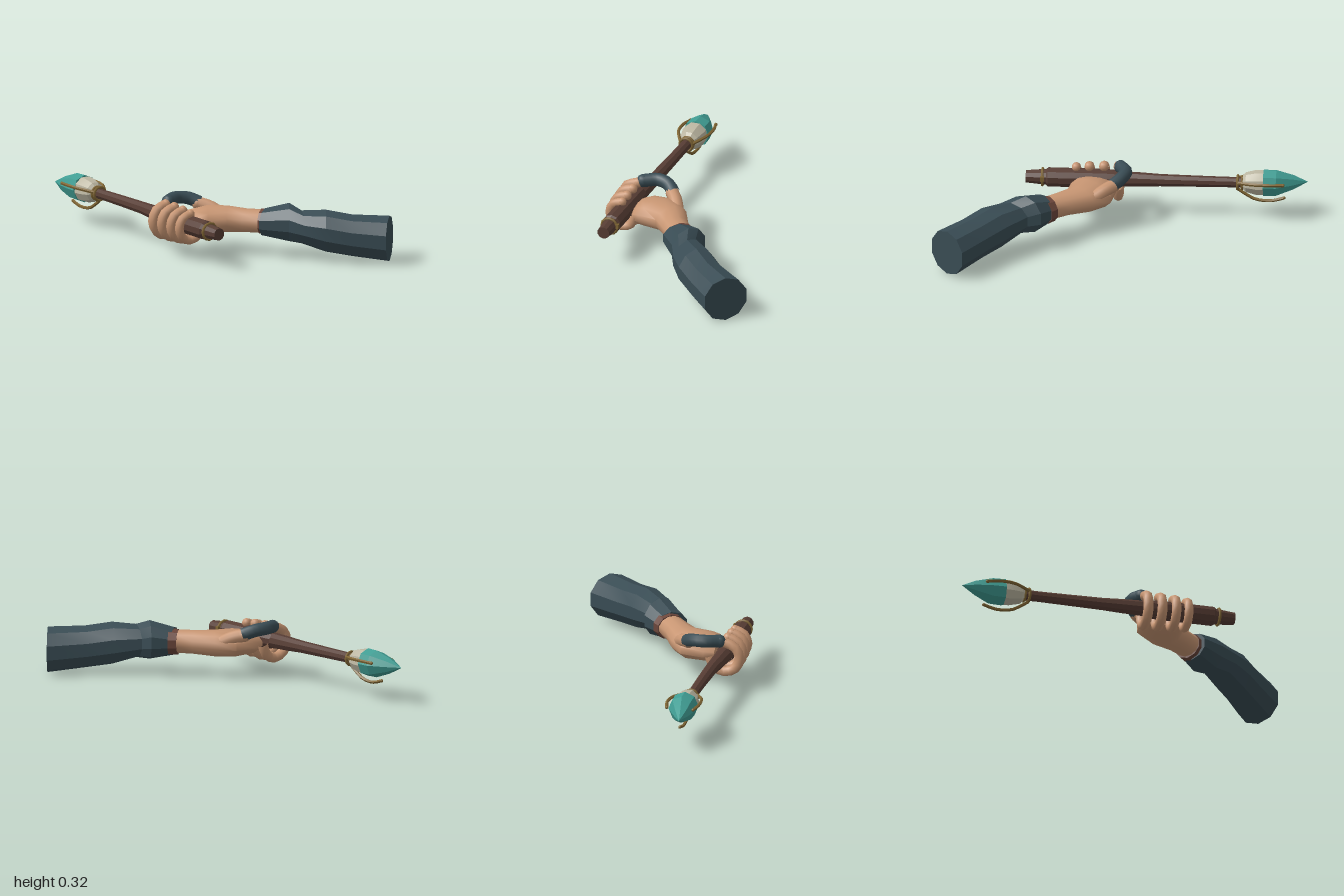
import * as THREE from 'three';
import { toCreasedNormals } from 'three/addons/utils/BufferGeometryUtils.js';

const V = (x, y, z) => new THREE.Vector3(x, y, z);

function material(name, color) {
  const m = new THREE.MeshStandardMaterial({ color });
  m.name = name;
  return m;
}

// Closed skin over elliptical sections [rightX, rightZ, leftX, leftZ, yLow, yHigh]
function loft(sections, sides, crease) {
  const pos = [], idx = [];
  for (const [rx, rz, lx, lz, y0, y1] of sections) {
    for (let j = 0; j < sides; j++) {
      const a = ((j + 0.5) / sides) * Math.PI * 2;
      const c = Math.cos(a) / 2;
      pos.push((rx + lx) / 2 + c * (rx - lx), (y0 + y1) / 2 + Math.sin(a) * (y1 - y0) / 2, (rz + lz) / 2 + c * (rz - lz));
    }
  }
  const last = sections.length - 1;
  for (let i = 0; i < last; i++) {
    for (let j = 0; j < sides; j++) {
      const k = (j + 1) % sides;
      const a = i * sides + j, b = i * sides + k;
      idx.push(a, b, b + sides, a, b + sides, a + sides);
    }
  }
  for (let j = 1; j < sides - 1; j++) {
    idx.push(0, j + 1, j, last * sides, last * sides + j, last * sides + j + 1);
  }
  const g = new THREE.BufferGeometry();
  g.setAttribute('position', new THREE.Float32BufferAttribute(pos, 3));
  g.setIndex(idx);
  return toCreasedNormals(g, crease);
}

// Faceted solid of revolution along z, from [radius, z] pairs; centre(z) gives [x, y]
function turned(profile, sides, centre) {
  const g = new THREE.LatheGeometry(profile.map(([r, z]) => new THREE.Vector2(r, z)), sides);
  g.rotateX(Math.PI / 2);
  const p = g.attributes.position;
  for (let i = 0; i < p.count; i++) {
    const [cx, cy] = centre(p.getZ(i));
    p.setXY(i, p.getX(i) + cx, p.getY(i) + cy);
  }
  return toCreasedNormals(g, 0.3);
}

function tube(points, radius, segments, sides) {
  const g = new THREE.TubeGeometry(new THREE.CatmullRomCurve3(points), segments, radius, sides);
  return toCreasedNormals(g, 0.95);
}

export function createModel() {
  const skin = material('skin', 0xc89673);
  const cloth = material('dark teal cloth', 0x394c54);
  const wood = material('dark wood', 0x573d34);
  const leather = material('wrist leather', 0x6b463b);
  const gold = material('old gold', 0x806634);
  const crystal = material('teal crystal', 0x409d93);
  const stone = material('pale stone', 0xbcb7a2);

  const model = new THREE.Group();
  const add = (name, geometry, mat, parent = model) => {
    const mesh = new THREE.Mesh(geometry, mat);
    mesh.name = name;
    parent.add(mesh);
    return mesh;
  };
  const group = (name) => {
    const g = new THREE.Group();
    g.name = name;
    model.add(g);
    return g;
  };
  const ball = (name, p, r, mat, parent) =>
    add(name, new THREE.SphereGeometry(r, 10, 8), mat, parent).position.copy(p);

  // Staff: butt, grip and a slightly bent, tapering shaft
  const staff = group('staff');
  const bend = (z) => {
    const t = THREE.MathUtils.smoothstep(-z, -0.1, 0.3);
    return [-0.42 + 0.018 * t, 0.192 + 0.006 * t];
  };
  add('grip', turned([[0, 0.53], [0.034, 0.53], [0.044, 0.42], [0.053, 0.41], [0.053, 0.1],
    [0.046, 0.02]].reverse(), 10, bend), wood, staff);
  add('shaft', turned([[0, -0.66], [0.03, -0.66], [0.029, -0.56], [0.031, -0.4], [0.034, -0.2],
    [0.039, -0.1], [0.044, 0.06]], 9, bend), wood, staff);
  for (const [z, r] of [[0.44, 0.045], [-0.62, 0.037], [-0.645, 0.034]]) {
    const ring = add('goldRing', new THREE.TorusGeometry(r, 0.008, 6, 12), gold, staff);
    ring.position.set(...bend(z), z);
  }
  const clasp = add('buttClasp', new THREE.BoxGeometry(0.025, 0.025, 0.02), gold, staff);
  clasp.position.set(-0.378, 0.2, 0.44);

  // Head: pale socket stone and pointed crystal
  const head = group('staffHead');
  const lean = (z) => [-0.402 - 0.028 * THREE.MathUtils.smoothstep(-z, 0.82, 1), 0.2];
  add('socketStone', turned([[0, -0.77], [0.07, -0.77], [0.069, -0.72], [0.055, -0.665],
    [0.03, -0.64], [0, -0.64]], 9, lean), stone, head);
  add('crystal', turned([[0, -1], [0.042, -0.92], [0.074, -0.83], [0.076, -0.76], [0, -0.755]], 8, lean), crystal, head);

  // Gold prongs curving around the head
  for (const [deg, s] of [[15, 1], [165, 1], [-90, 1.15]]) {
    const a = THREE.MathUtils.degToRad(deg);
    const path = [[0.034, -0.62], [0.058, -0.66], [0.085, -0.715], [0.092, -0.8], [0.076, -0.87]]
      .map(([r, z]) => V(-0.402 + Math.cos(a) * r * s, 0.2 + Math.sin(a) * r * s, z));
    add('prong', tube(path, 0.009, 8, 5), gold, head);
    ball('prongTip', path[4], 0.009, gold, head);
  }

  // Hand: palm narrowing to the wrist
  const hand = group('hand');
  add('palm', loft([
    [-0.355, 0.05, -0.365, 0.26, 0.135, 0.225],
    [-0.3, 0.03, -0.35, 0.28, 0.115, 0.245],
    [-0.165, 0.05, -0.32, 0.285, 0.11, 0.258],
    [-0.09, 0.14, -0.21, 0.3, 0.115, 0.256],
    [-0.03, 0.26, -0.15, 0.36, 0.122, 0.25],
    [0.025, 0.33, -0.085, 0.43, 0.125, 0.25],
  ], 12, 0.95), skin, hand);

  // Fingers wrapping under and around the grip
  [[0.028, 1], [0.107, 0.98], [0.187, 0.94], [0.258, 0.87]].forEach(([z, s]) => {
    const path = [];
    for (let i = 0; i <= 6; i++) {
      const a = -i * (Math.PI / 4);
      path.push(V(-0.42 + Math.cos(a) * 0.084 * s, 0.182 + Math.sin(a) * 0.084 * s, z));
    }
    add('finger', tube(path, 0.028 * s, 12, 8), skin, hand);
    ball('fingertip', path[6], 0.028 * s, skin, hand);
  });

  // Thumb: bare base and covered tip lying over the grip
  const base = [V(-0.14, 0.2, 0.15), V(-0.175, 0.232, 0.09), V(-0.215, 0.248, 0.04)];
  add('thumbBase', tube(base, 0.036, 6, 10), skin, hand);
  ball('thumbKnuckle', base[2], 0.037, skin, hand);
  const thumb = [V(-0.205, 0.25, 0.045), V(-0.255, 0.274, 0.0), V(-0.32, 0.281, -0.018), V(-0.395, 0.276, 0.015)];
  add('thumbCover', tube(thumb, 0.036, 10, 10), cloth, hand);
  ball('thumbTip', thumb[3], 0.036, cloth, hand);

  // Wristband and sleeve
  const arm = group('arm');
  add('wristband', loft([
    [0.03, 0.325, -0.095, 0.425, 0.115, 0.255],
    [0.065, 0.355, -0.07, 0.475, 0.11, 0.26],
  ], 10, 0.4), leather, arm);
  add('sleeve', loft([
    [0.05, 0.35, -0.105, 0.455, 0.11, 0.262],
    [0.13, 0.41, 0.0, 0.59, 0.085, 0.298],
    [0.135, 0.48, 0.045, 0.68, 0.085, 0.268],
    [0.25, 0.58, 0.115, 0.775, 0.045, 0.278],
    [0.355, 0.68, 0.22, 0.87, 0.025, 0.256],
    [0.535, 0.81, 0.355, 0.995, 0, 0.252],
  ], 10, 0.2), cloth, arm);

  return model;
}
